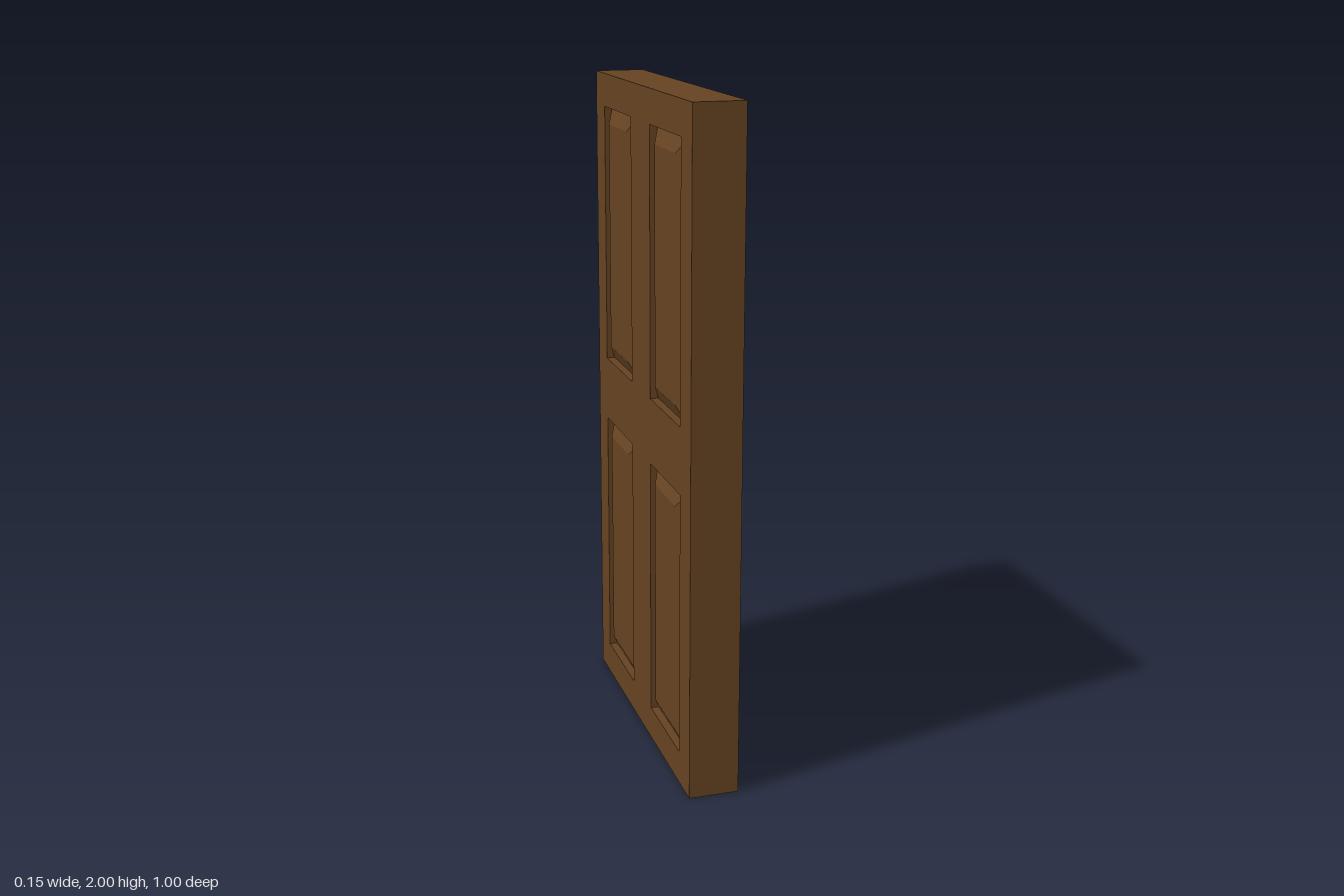
import * as THREE from 'three';

const W = 1, H = 2, T = 0.15;                  // door width, height, thickness
const PW = 0.3, PH = 0.8;                      // panel opening
const RECESS = 0.025, BEVEL = 0.05;            // groove depth, panel slope width

function trace(path, cx, cy, w, h) {
  path.moveTo(cx - w / 2, cy - h / 2);
  path.lineTo(cx + w / 2, cy - h / 2);
  path.lineTo(cx + w / 2, cy + h / 2);
  path.lineTo(cx - w / 2, cy + h / 2);
  path.closePath();
  return path;
}

export function createModel() {
  const door = new THREE.Group();
  door.name = 'door';
  const wood = new THREE.MeshStandardMaterial({ color: 0x654321 });

  const add = (name, geometry) => {
    geometry.rotateY(Math.PI / 2);             // thickness runs along x
    const mesh = new THREE.Mesh(geometry, wood);
    mesh.name = name;
    door.add(mesh);
  };

  // Frame of stiles and rails with four openings
  const frame = trace(new THREE.Shape(), 0, H / 2, W, H);
  const openings = [];
  for (const [row, y] of [['lower', 0.5], ['upper', 1.5]])
    for (const [column, u] of [['Front', -0.25], ['Back', 0.25]]) {
      openings.push({ name: row + column + 'Panel', u, y });
      frame.holes.push(trace(new THREE.Path(), u, y, PW, PH));
    }
  add('frame', new THREE.ExtrudeGeometry(frame, { depth: T, bevelEnabled: false }).translate(0, 0, -T / 2));

  // Raised panels, bevelled on both faces down to the groove
  const core = T - 2 * RECESS;
  for (const { name, u, y } of openings) {
    const field = trace(new THREE.Shape(), u, y, PW - 2 * BEVEL, PH - 2 * BEVEL);
    add(name, new THREE.ExtrudeGeometry(field, {
      depth: core, bevelThickness: RECESS, bevelSize: BEVEL, bevelSegments: 1,
    }).translate(0, 0, -core / 2));
  }
  return door;
}
